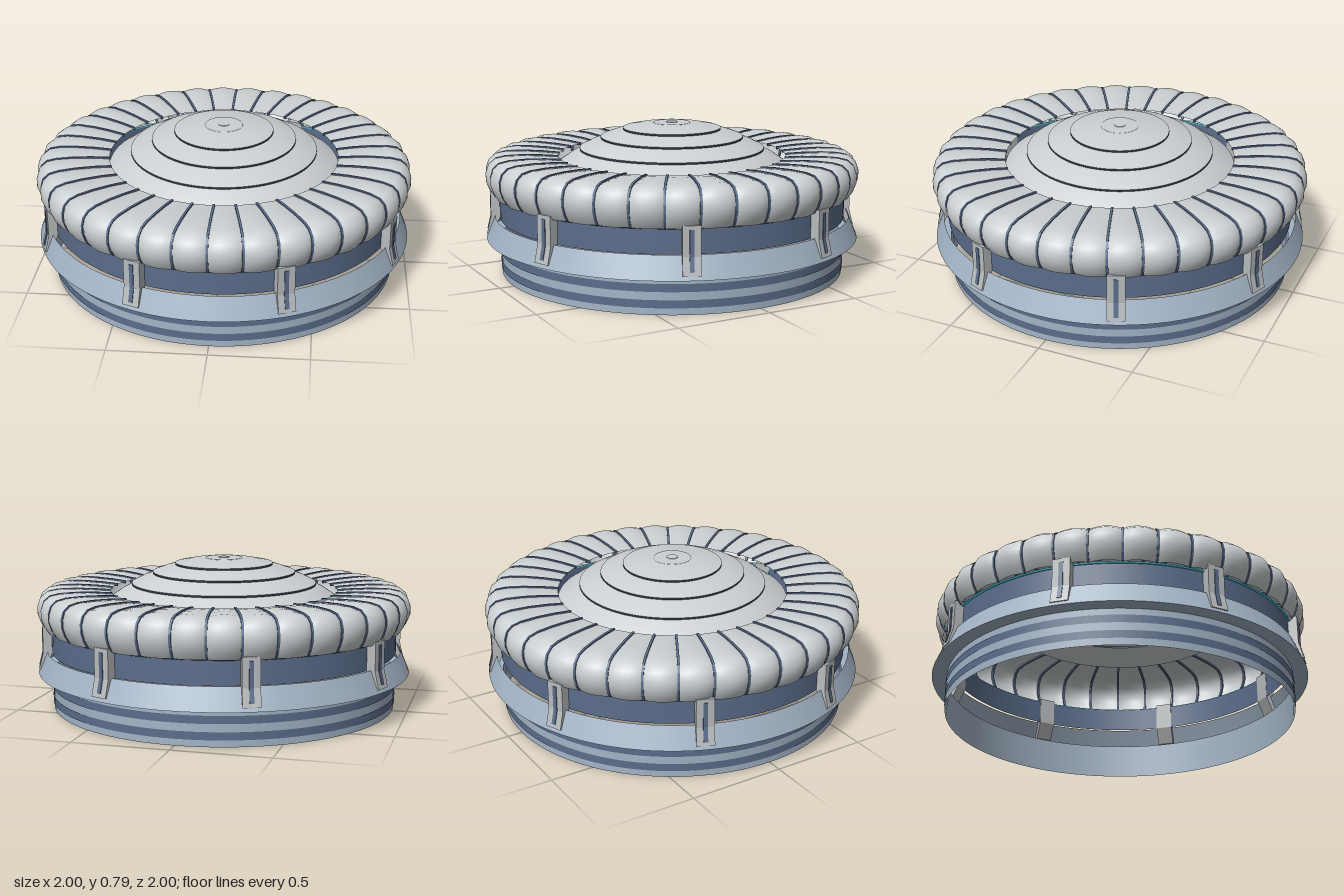
import * as THREE from 'three';
import { mergeGeometries } from 'three/addons/utils/BufferGeometryUtils.js';

const SEG = 108;
const LOBES = 36;

function material(name, color, side = THREE.FrontSide) {
  const m = new THREE.MeshStandardMaterial({ color, side });
  m.name = name;
  return m;
}

// Revolved strip through [radius, height] pairs, listed from bottom to top
function ring(points) {
  return new THREE.LatheGeometry(points.map(([r, y]) => new THREE.Vector2(r, y)), SEG);
}

// Radial plate: a [radius, height] outline extruded to a width
function plate(points, width) {
  const shape = new THREE.Shape(points.map(([r, y]) => new THREE.Vector2(r, y)));
  const g = new THREE.ExtrudeGeometry(shape, { depth: width, bevelEnabled: false });
  return g.translate(0, 0, -width / 2);
}

// Copies of a geometry spaced evenly around the y axis
function around(geometry, count, offset = 0) {
  const copies = [];
  for (let i = 0; i < count; i++) {
    copies.push(geometry.clone().rotateY(offset + (i / count) * Math.PI * 2));
  }
  return mergeGeometries(copies);
}

// Roof section at the seams: radius, height, outward swell of the lobe (radius, height)
const ROOF = [
  [0.94, 0.43, 0.018, 0], [0.962, 0.465, 0.02, 0], [0.977, 0.51, 0.022, 0],
  [0.978, 0.55, 0.021, 0.003], [0.966, 0.588, 0.017, 0.009], [0.938, 0.612, 0.008, 0.014],
  [0.89, 0.622, 0, 0.014], [0.8, 0.625, 0, 0.01], [0.7, 0.622, 0, 0.006], [0.61, 0.615, 0, 0.002],
];

// One swelling roof panel between two seams
function lobe() {
  const cols = 8, step = (Math.PI * 2) / LOBES;
  const pos = [], index = [];
  ROOF.forEach(([r, y, dr, dy], j) => {
    for (let i = 0; i <= cols; i++) {
      const u = i / cols, a = u * step;
      const swell = Math.pow(Math.sin(Math.PI * Math.min(u, 1 - u)), 0.7);
      const rr = r + dr * swell;
      pos.push(rr * Math.cos(a), y + dy * swell, -rr * Math.sin(a));
      if (j && i) {
        const d = j * (cols + 1) + i, c = d - 1, b = d - cols - 1, a0 = b - 1;
        index.push(a0, b, d, a0, d, c);
      }
    }
  });
  const g = new THREE.BufferGeometry();
  g.setAttribute('position', new THREE.Float32BufferAttribute(pos, 3));
  g.setIndex(index);
  g.computeVertexNormals();
  return g;
}

export function createModel() {
  const model = new THREE.Group();
  model.name = 'arena';
  const wall = material('pale blue wall', 0xa3b4c6, THREE.DoubleSide);
  const blue = material('slate blue', 0x5b6d8b, THREE.DoubleSide);
  const roof = material('light grey roof', 0xcbd0d2, THREE.DoubleSide);
  const metal = material('grey bracket', 0xb9bcbe);
  const dark = material('dark trim', 0x3a4455, THREE.DoubleSide);
  const cyan = material('cyan light', 0x45bdd0);

  const add = (name, geometry, mat) => {
    const mesh = new THREE.Mesh(geometry, mat);
    mesh.name = name;
    model.add(mesh);
    return mesh;
  };

  // Open base drum with two painted stripes
  add('baseDrum', ring([[0.922, 0], [0.922, 0.19]]), wall);
  for (const y of [0.035, 0.115]) {
    add('baseStripe', ring([[0.926, y], [0.926, y + 0.04]]), blue);
  }

  // Flared skirt with a flat underside ledge, and the wall band above it
  add('skirtLedge', ring([[0.922, 0.19], [1.0, 0.19]]), wall);
  add('skirt', ring([[1.0, 0.19], [0.953, 0.305]]), wall);
  add('wallBand', ring([[0.928, 0.3], [0.928, 0.43]]), blue);
  add('lightRing', new THREE.TorusGeometry(0.934, 0.006, 6, SEG).rotateX(Math.PI / 2).translate(0, 0.43, 0), cyan);

  // Scalloped roof ring and the ribs along its seams
  add('roofPanels', around(lobe(), LOBES), roof);
  const outer = [], inner = [];
  ROOF.forEach(([r, y, dr, dy]) => {
    const k = 0.008 / Math.hypot(dr, dy);
    outer.push([r + dr * k, y + dy * k]);
    inner.unshift([r - dr * k, y - dy * k]);
  });
  add('roofRibs', around(plate([...outer, ...inner], 0.012), LOBES), blue);

  // Brackets that follow the band and flare over the skirt, each with a dark slot
  const bracket = plate([[0.925, 0.45], [0.925, 0.3], [0.965, 0.21], [0.998, 0.21], [0.975, 0.3], [0.975, 0.45]], 0.09);
  const slot = plate([[0.97, 0.43], [0.97, 0.3], [0.988, 0.23], [0.997, 0.23], [0.979, 0.3], [0.979, 0.43]], 0.022);
  add('brackets', around(bracket, 8, Math.PI / 8), metal);
  add('bracketSlots', around(slot, 8, Math.PI / 8), blue);

  // Stepped dome: gently curved tiers separated by dark risers
  const tiers = [[0.612, 0.575, 0.49, 0.648], [0.495, 0.658, 0.375, 0.707], [0.382, 0.717, 0.255, 0.753], [0.262, 0.763, 0.1, 0.787]];
  tiers.forEach(([r0, y0, r1, y1], i) => {
    const mid = [(r0 + r1) / 2 + 0.002, (y0 + y1) / 2 + 0.004];
    add('domeTier', ring([[r0, y0], mid, [r1, y1]]), roof);
    if (i) add('domeRiser', ring([[tiers[i - 1][2], tiers[i - 1][3]], [r0, y0 - 0.01], [r0, y0]]), dark);
  });
  add('domeCap', ring([[0.1, 0.787], [0.098, 0.79], [0, 0.79]]), roof);
  add('domeButton', new THREE.CylinderGeometry(0.03, 0.03, 0.004, 24).translate(0, 0.791, 0), roof);
  return model;
}
